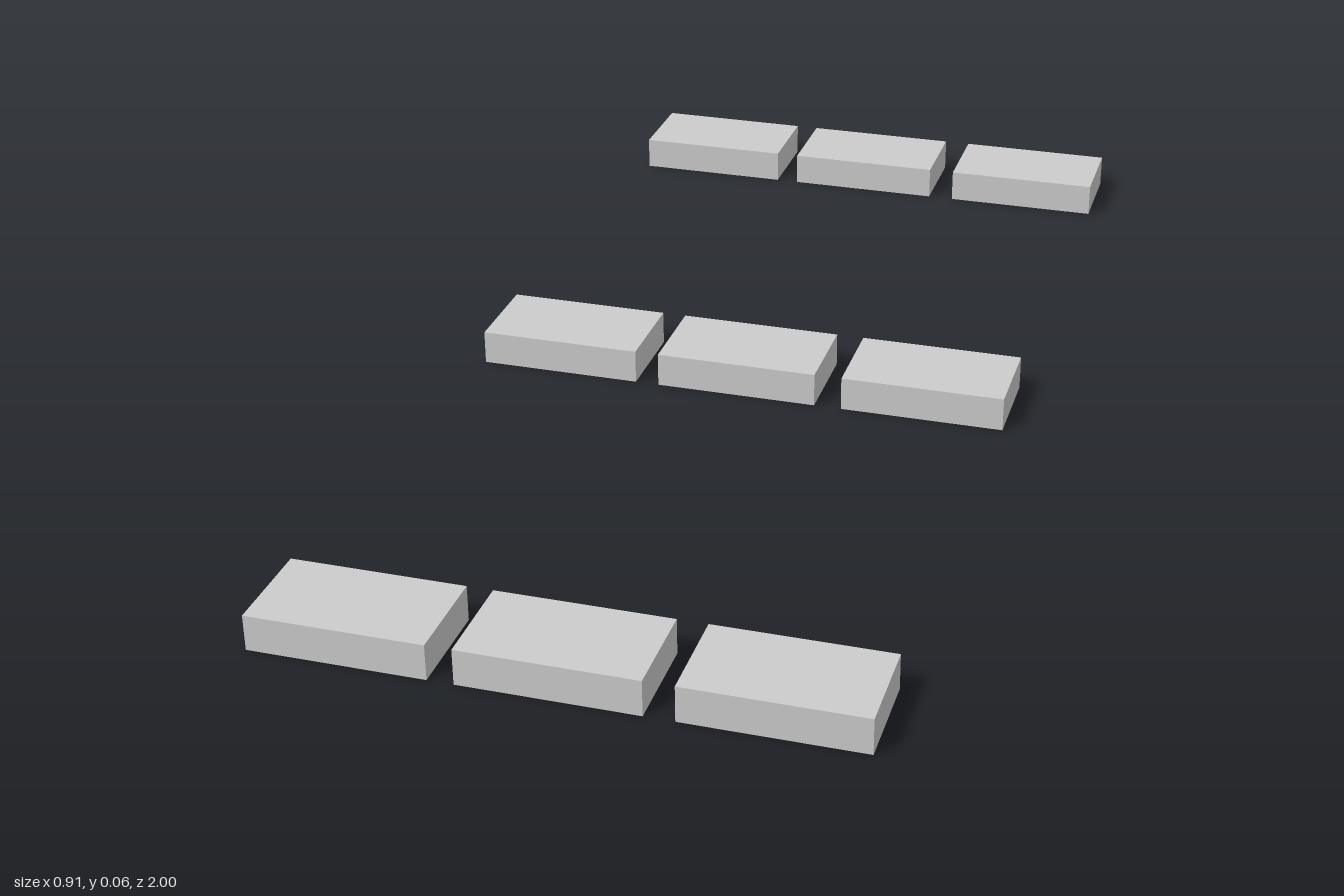
import * as THREE from 'three';

export function createModel() {
  const model = new THREE.Group();
  const material = new THREE.MeshStandardMaterial({ color: 0xcccccc, flatShading: true });

  // One flat slab, repeated in three rows of three
  const width = 0.273, height = 0.057, depth = 0.157;
  const slab = new THREE.BoxGeometry(width, height, depth);
  const columns = { right: -0.316, middle: -0.003, left: 0.316 };
  const rows = { back: -0.9215, centre: -0.002, front: 0.9215 };

  for (const [rowName, z] of Object.entries(rows)) {
    const row = new THREE.Group();
    row.name = `${rowName}Row`;
    row.position.z = z;
    for (const [columnName, x] of Object.entries(columns)) {
      const mesh = new THREE.Mesh(slab, material);
      mesh.name = `${columnName}Slab`;
      mesh.position.set(x, height / 2, 0);
      row.add(mesh);
    }
    model.add(row);
  }
  return model;
}
